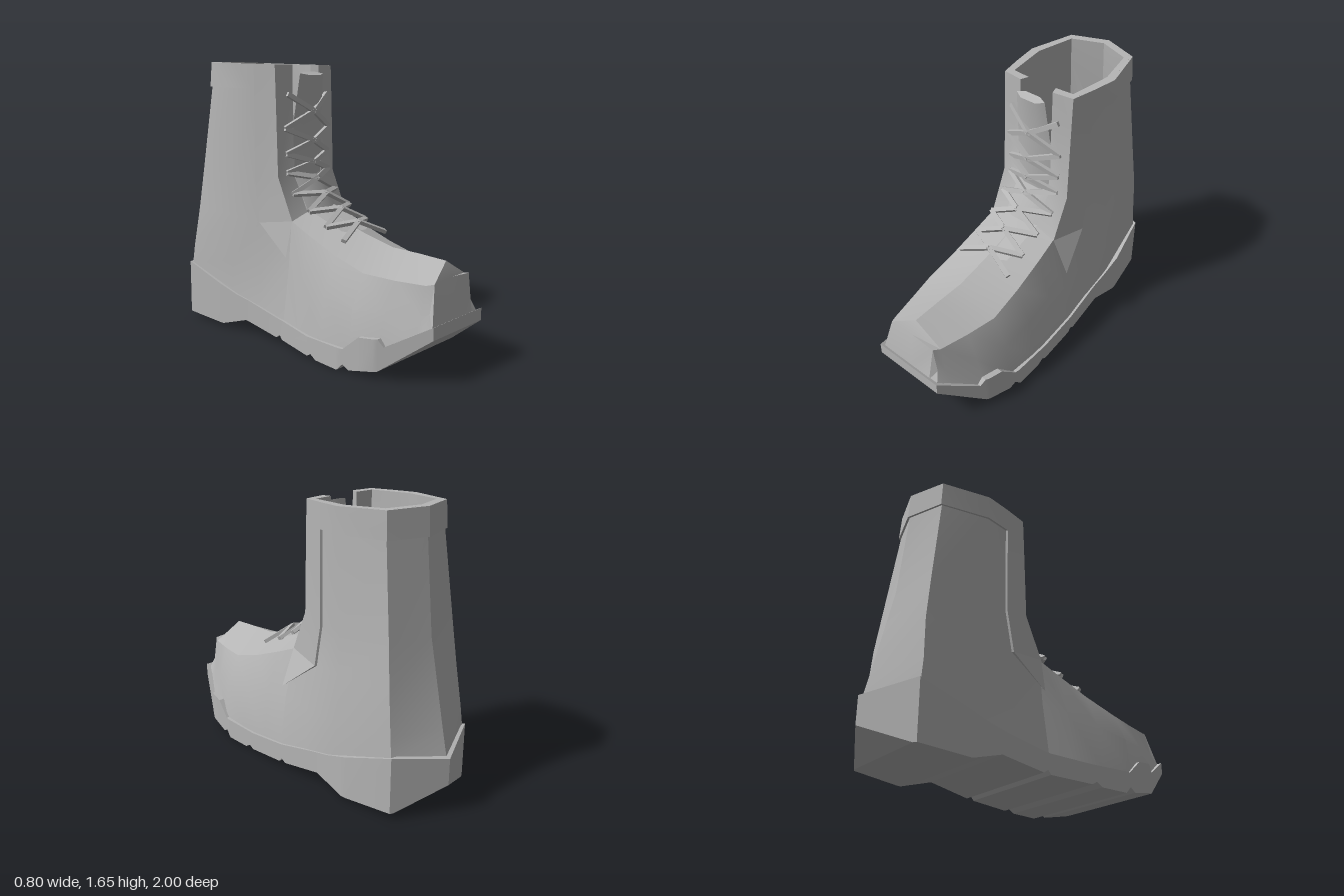
import * as THREE from 'three';
import { toCreasedNormals } from 'three/addons/utils/BufferGeometryUtils.js';

const grey = new THREE.MeshStandardMaterial({ color: 0xb5b5b5, side: THREE.DoubleSide });
grey.name = 'grey';

// Skin a list of rows of [x, y, z] points
function loft(rows, { closed = false, caps = false, crease = 0.5 } = {}) {
  const pos = [];
  const tri = (a, b, c) => pos.push(...a, ...b, ...c);
  const n = rows[0].length;
  for (let i = 0; i < rows.length - 1; i++) {
    for (let j = 0; j < (closed ? n : n - 1); j++) {
      const k = (j + 1) % n, p = rows[i], q = rows[i + 1];
      tri(p[j], q[j], q[k]);
      tri(p[j], q[k], p[k]);
    }
  }
  if (caps) {
    const first = rows[0], last = rows[rows.length - 1];
    for (let j = 1; j < n - 1; j++) {
      tri(first[0], first[j], first[j + 1]);
      tri(last[0], last[j + 1], last[j]);
    }
  }
  const g = new THREE.BufferGeometry();
  g.setAttribute('position', new THREE.Float32BufferAttribute(pos, 3));
  return toCreasedNormals(g, crease);
}

// Interpolate column c of a table ordered by falling z
function sample(table, z, c) {
  for (let i = 0; i < table.length - 1; i++) {
    const a = table[i], b = table[i + 1];
    if (z <= a[0] && z >= b[0]) return a[c] + (b[c] - a[c]) * (a[0] - z) / (a[0] - b[0]);
  }
  return table[table.length - 1][c];
}

// Sole outline: z, half width on -x, half width on +x
const outline = [[1, 0.24, 0.225], [0.72, 0.375, 0.36], [0.5, 0.4, 0.395], [0.25, 0.375, 0.39],
  [0, 0.32, 0.375], [-0.3, 0.31, 0.35], [-0.55, 0.325, 0.345], [-0.84, 0.32, 0.285], [-1, 0, 0]];
const width = (z, s) => sample(outline, z, s < 0 ? 1 : 2);

// Sole edge heights and the notched tread: z, y
const soleTop = [[1, 0.31], [0.77, 0.18], [0.74, 0.22], [0.63, 0.21], [0.53, 0.125], [0.25, 0.125],
  [-0.02, 0.15], [-0.4, 0.23], [-0.84, 0.37], [-1, 0.33]];
const soleBottom = [[1, 0.24], [0.74, 0.045], [0.57, 0.015], [0.53, 0.04], [0.49, 0], [0.32, 0.005],
  [0.28, 0.03], [0.25, 0.012], [0, 0.03], [-0.02, 0.055], [-0.05, 0.035], [-0.32, 0.08],
  [-0.52, 0.02], [-0.85, 0.035], [-1, 0.17]];

// Shaft columns: rows of [x, y, z]; x = null follows the sole, inset by the fourth value
const columns = {
  flap: [[0.11, 1.63, -0.115], [0.11, 1.49, -0.115], [0.11, 0.98, -0.1], [0.11, 0.77, 0], [0.11, 0.42, 0], [0.11, 0.14, 0]],
  front: [[0.235, 1.63, -0.13], [0.235, 1.49, -0.125], [0.235, 0.98, -0.11], [0.235, 0.73, 0], [null, 0.45, 0, 0.06], [null, 0.13, 0, 0.012]],
  quarter: [[0.262, 1.635, -0.27], [0.262, 1.49, -0.27], [0.262, 0.95, -0.27], [0.27, 0.7, -0.23], [null, 0.42, -0.22, 0.04], [null, 0.17, -0.2, 0.012]],
  side: [[0.285, 1.64, -0.42], [0.285, 1.495, -0.42], [0.285, 0.97, -0.43], [0.295, 0.72, -0.44], [null, 0.44, -0.45, 0.025], [null, 0.23, -0.45, 0.012]],
  rear: [[0.215, 1.65, -0.69], [0.22, 1.5, -0.7], [0.25, 0.98, -0.765], [0.267, 0.73, -0.795], [null, 0.48, -0.815, 0.02], [null, 0.35, -0.83, 0.012]],
  heel: [[0, 1.655, -0.765], [0, 1.5, -0.775], [0, 0.98, -0.83], [0, 0.73, -0.885], [0, 0.48, -0.94], [0, 0.33, -0.975]],
};
// Point on a column, pushed outward by d
function at(name, row, s, d = 0) {
  let [x, y, z, inset] = columns[name][row];
  if (x === null) x = width(z, s) - inset;
  const dx = x * s, dz = z + 0.42, r = Math.hypot(dx, dz) || 1;
  return [dx * (1 + d / r), y, z + dz * d / r];
}
// A row running round the back from one side to the other
function around(names, row, d = 0) {
  return [...names.map(n => at(n, row, -1, d)), at('heel', row, 1, d),
    ...[...names].reverse().map(n => at(n, row, 1, d))];
}

export function createModel() {
  const boot = new THREE.Group();
  boot.name = 'boot';
  const add = (name, g) => {
    const m = new THREE.Mesh(g, grey);
    m.name = name;
    boot.add(m);
    return m;
  };

  // Sole with tread notches
  const stations = [...new Set([...outline, ...soleTop, ...soleBottom].map(r => r[0]))].sort((a, b) => b - a);
  add('sole', loft(stations.map(z => {
    const t = sample(soleTop, z, 1), b = sample(soleBottom, z, 1);
    return [[-width(z, -1), t, z], [-width(z, -1), b, z], [width(z, 1), b, z], [width(z, 1), t, z]];
  }), { closed: true, caps: true, crease: 0.35 }));

  // Forefoot: z, crown y, shoulder x and y, side inset and y, base y
  const foot = [
    [0.985, 0.29, 0.15, 0.29, 0.02, 0.28, 0.26],
    [0.95, 0.52, 0.165, 0.51, 0.06, 0.36, 0.25],
    [0.91, 0.6, 0.185, 0.5, 0.06, 0.34, 0.22],
    [0.74, 0.612, 0.225, 0.505, 0.06, 0.34, 0.15],
    [0.56, 0.62, 0.262, 0.52, 0.04, 0.34, 0.11],
    [0.35, 0.675, 0.255, 0.585, 0.045, 0.38, 0.11],
    [0.15, 0.745, 0.245, 0.665, 0.05, 0.42, 0.11],
    [0, 0.79, 0.235, 0.73, 0.06, 0.45, 0.13]];
  const half = ([z, , sx, sy, inset, my, by], s) => {
    const w = width(z, s);
    return [[s * (w - 0.012), by, z], [s * (w - inset), my, z], [s * sx, sy, z]];
  };
  add('forefoot', loft(foot.map(f => [...half(f, -1), [0, f[1], f[0]], ...half(f, 1).reverse()]), { crease: 0.4 }));

  // Outer shaft, hollow lining and floor
  const outer = ['front', 'quarter', 'side', 'rear'];
  const all = ['flap', ...outer];
  add('shaft', loft([0, 1, 2, 3, 4, 5].map(r => around(outer, r))));
  const lining = [0, 1, 2, 3, 4].map(r => around(all, r, -0.04));
  add('lining', loft(lining));
  add('insole', loft([lining[4], lining[4].map(() => [0, 0.42, -0.42])]));

  // Raised collar and rim
  add('collar', loft([around(['quarter', 'side', 'rear'], 1), around(['quarter', 'side', 'rear'], 1, 0.013),
    around(['quarter', 'side', 'rear'], 0, 0.013)]));
  add('rim', loft([around(all, 0, 0.013), around(all, 0, -0.04)]));

  // Raised lace panels on both sides of the opening
  for (const s of [-1, 1]) {
    const name = s < 0 ? 'right' : 'left';
    add(name + 'LacePanel', loft([0, 1, 2, 3].map(r => [
      at('flap', r, s, -0.04), at('flap', r, s, 0.013), at('front', r, s, 0.013),
      at('quarter', r, s, 0.013), at('quarter', r, s)])));
    // Pointed lower end of the panel
    const tip = [s * (width(0, s) - 0.035), 0.52, 0];
    add(name + 'PanelTip', loft([[at('front', 3, s, 0.013), at('quarter', 3, s, 0.013), at('quarter', 3, s)], [tip, tip, tip]]));
  }

  // Tongue: half width, y, z
  const tongue = [[0.12, 0.69, 0.3], [0.12, 0.79, 0.03], [0.12, 0.99, -0.085], [0.12, 1.3, -0.08], [0.1, 1.58, -0.045]];
  add('tongue', loft(tongue.map(([w, y, z]) => [
    [-w, y, z - 0.01], [-w * 0.5, y - 0.01, z + 0.015], [w * 0.5, y - 0.01, z + 0.015], [w, y, z - 0.01],
    [w * 0.5, y + 0.01, z - 0.03], [-w * 0.5, y + 0.01, z - 0.03]]), { closed: true, caps: true }));

  // Crossed laces between eyelet rows: half spread, y, z
  const eyelets = [[0.17, 1.46, -0.09], [0.19, 1.26, -0.09], [0.18, 1.11, -0.09], [0.18, 1.0, -0.085],
    [0.19, 0.88, -0.03], [0.18, 0.79, 0.09], [0.18, 0.715, 0.22], [0.19, 0.655, 0.36]];
  const strap = (a, b, normal) => {
    const dir = b.clone().sub(a), len = dir.length();
    dir.normalize();
    const up = normal.clone().addScaledVector(dir, -normal.dot(dir)).normalize();
    const m = add('lace', new THREE.BoxGeometry(len, 0.028, 0.022));
    m.quaternion.setFromRotationMatrix(new THREE.Matrix4().makeBasis(dir, up.clone().cross(dir), up));
    m.position.copy(a).add(b).multiplyScalar(0.5);
  };
  for (let i = 0; i < eyelets.length - 1; i++) {
    const [wa, ya, za] = eyelets[i], [wb, yb, zb] = eyelets[i + 1];
    const normal = new THREE.Vector3(0, zb - za, ya - yb).normalize();
    const cross = new THREE.Vector3(0, (ya + yb) / 2, (za + zb) / 2).addScaledVector(normal, 0.055);
    for (const s of [-1, 1]) {
      strap(new THREE.Vector3(s * wa, ya, za), cross, normal);
      strap(cross, new THREE.Vector3(s * wb, yb, zb), normal);
    }
  }
  return boot;
}
